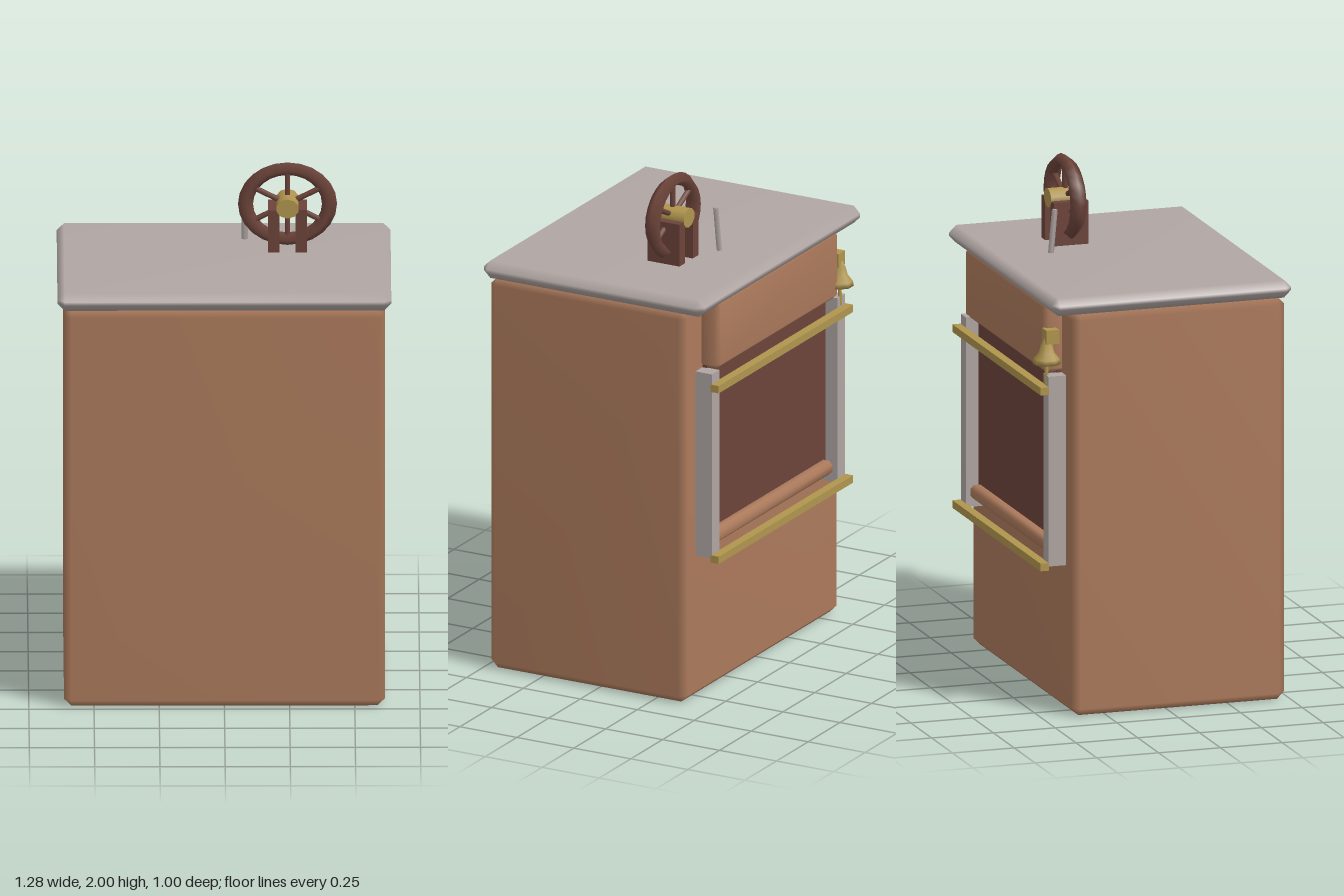
import * as THREE from 'three';
import { mergeVertices } from 'three/addons/utils/BufferGeometryUtils.js';
import { ConvexGeometry } from 'three/addons/geometries/ConvexGeometry.js';

const paint = (name, color) => {
  const m = new THREE.MeshStandardMaterial({ color });
  m.name = name;
  return m;
};

// Box with 45 degree chamfers and softly averaged normals
function chamferBox(w, h, d, c) {
  const pts = [];
  for (const x of [-1, 1]) for (const y of [-1, 1]) for (const z of [-1, 1]) {
    for (const [a, b, e] of [[0, c, c], [c, 0, c], [c, c, 0]]) {
      pts.push(new THREE.Vector3(x * (w / 2 - a), y * (h / 2 - b), z * (d / 2 - e)));
    }
  }
  let g = new ConvexGeometry(pts);
  g.deleteAttribute('normal');
  g = mergeVertices(g, 1e-4);
  g.computeVertexNormals();
  return g;
}

export function createModel() {
  const model = new THREE.Group();
  model.name = 'cabinet';
  const wood = paint('warm wood', 0xac7a5c);
  const stone = paint('pale grey', 0xb0a6a3);
  const dark = paint('dark wood', 0x6c443a);
  const brass = paint('brass', 0xb0954e);

  const add = (name, geo, mat, x, y, z, parent = model) => {
    const m = new THREE.Mesh(geo, mat);
    m.name = name;
    m.position.set(x, y, z);
    parent.add(m);
    return m;
  };
  // Place a part by its minimum and maximum corners
  const span = (name, mat, a, b, chamfer = 0) => {
    const s = a.map((v, i) => b[i] - v);
    const geo = chamfer ? chamferBox(...s, chamfer) : new THREE.BoxGeometry(...s);
    return add(name, geo, mat, ...a.map((v, i) => (v + b[i]) / 2));
  };

  // Cabinet and worktop
  span('cabinetBody', wood, [-0.615, 0, -0.38], [0.615, 1.59, 0.48], 0.028);
  span('worktop', stone, [-0.64, 1.59, -0.47], [0.64, 1.66, 0.5], 0.028);

  // Rear opening: hood, dark panel, sill, posts and rails
  span('rearHood', wood, [-0.477, 1.33, -0.455], [0.477, 1.61, -0.36], 0.02);
  span('rearPanel', dark, [-0.47, 0.6, -0.4], [0.47, 1.34, -0.37]);
  span('rearSill', wood, [-0.46, 0.615, -0.44], [0.46, 0.67, -0.38], 0.014);
  for (const s of [-1, 1]) {
    span(s > 0 ? 'leftPost' : 'rightPost', stone,
      [s * 0.495 - 0.03, 0.58, -0.452], [s * 0.495 + 0.03, 1.33, -0.37]);
  }
  for (const [name, y] of [['upperRail', 1.275], ['lowerRail', 0.58]]) {
    span(name, brass, [-0.53, y - 0.015, -0.485], [0.53, y + 0.015, -0.45]);
  }

  // Bell with its hanger and clapper
  span('bellHanger', brass, [-0.517, 1.455, -0.457], [-0.465, 1.51, -0.405]);
  const profile = [[0, 1.378], [0.054, 1.375], [0.05, 1.395], [0.03, 1.42], [0.022, 1.45], [0.01, 1.475]]
    .map(([r, y]) => new THREE.Vector2(r, y));
  const bell = add('bell', new THREE.LatheGeometry(profile, 8), brass, -0.492, 0, -0.448);
  bell.rotation.y = Math.PI / 8;
  add('clapper', new THREE.CylinderGeometry(0.007, 0.01, 0.08, 6), brass, -0.492, 1.335, -0.448);

  // Hand wheel on two bearing blocks, slightly flattened in height
  for (const s of [-1, 1]) {
    span(s > 0 ? 'leftBearing' : 'rightBearing', dark,
      [0.244 + s * 0.053 - 0.022, 1.65, -0.195], [0.244 + s * 0.053 + 0.022, 1.83, -0.055]);
  }
  const wheel = new THREE.Group();
  wheel.name = 'handWheel';
  wheel.position.set(0.244, 1.835, -0.125);
  wheel.scale.set(1, 0.87, 1);
  model.add(wheel);
  const rim = add('wheelRim', new THREE.TorusGeometry(0.161, 0.029, 4, 24), dark, 0, 0, 0, wheel);
  rim.scale.z = 1.13;
  for (let i = 0; i < 6; i++) {
    const a = i * Math.PI / 3;
    const spoke = add('spoke', new THREE.CylinderGeometry(0.012, 0.012, 0.13, 6), dark,
      -Math.sin(a) * 0.085, Math.cos(a) * 0.085, 0, wheel);
    spoke.rotation.z = a;
  }
  const hub = add('hub', new THREE.CylinderGeometry(0.044, 0.044, 0.142, 10), brass, 0, 0, 0, wheel);
  hub.rotation.x = Math.PI / 2;

  // Thin lever leaning behind the wheel
  const lever = add('lever', new THREE.CylinderGeometry(0.012, 0.012, 0.18, 4), stone, 0.08, 1.74, -0.23);
  lever.rotation.x = 0.09;

  return model;
}
